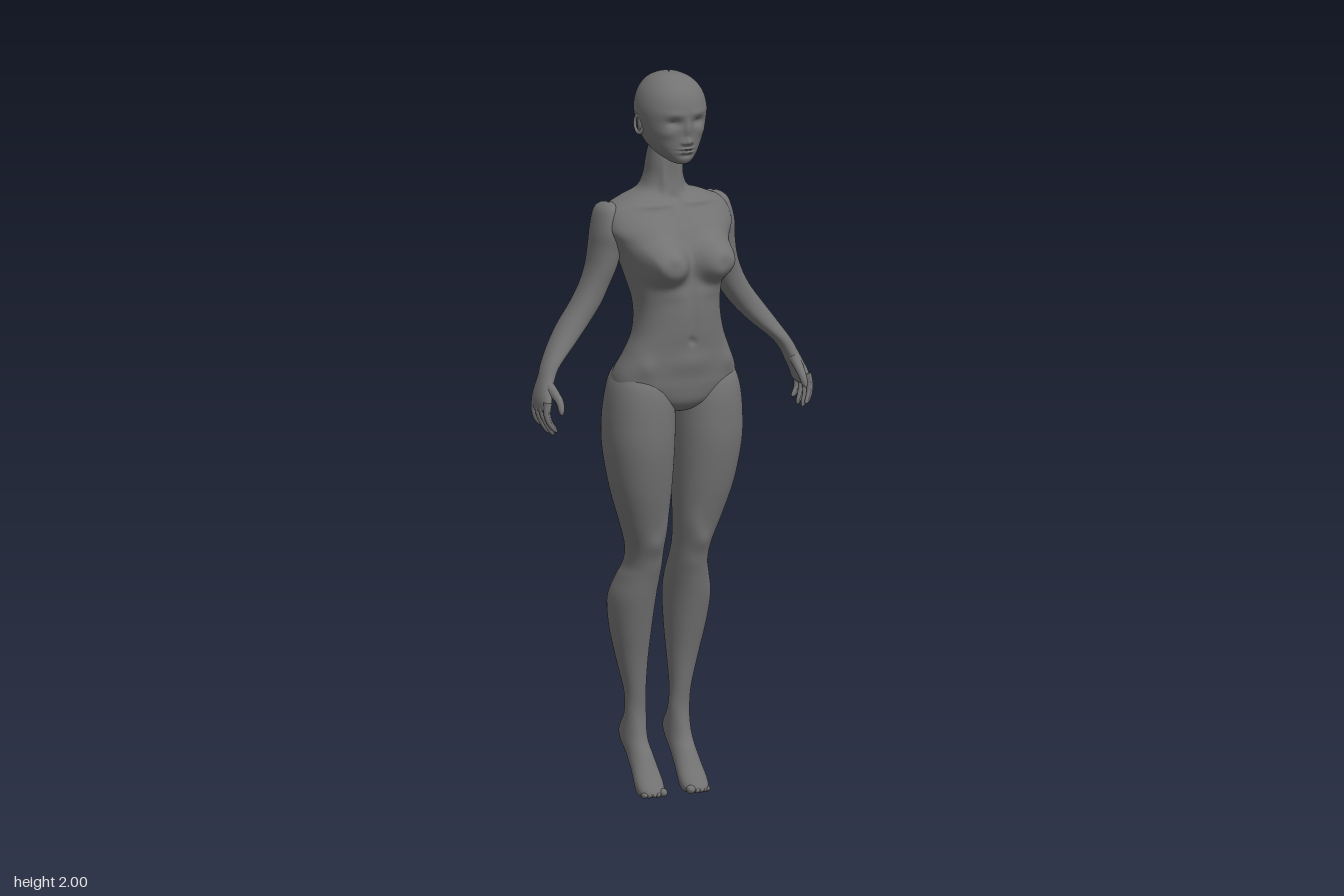
import * as THREE from 'three';

const material = new THREE.MeshStandardMaterial({ color: 0x737373 });

// Catmull-Rom blend of four numbers
const spline = (a, b, c, d, t) =>
  b + 0.5 * t * (c - a + t * (2 * a - 5 * b + 4 * c - d + t * (3 * (b - c) + d - a)));

// Loft through level sections [y, xMin, xMax, zMin, zMax], listed from the top down.
// Bumps [x, y, side, rx, ry, dz, fullness] push the front (side 1) or back (side -1) along z, on both halves.
function loft(sections, { sides = 48, steps = 6, power = 2.2, bumps = [] } = {}) {
  const pos = [], index = [], last = sections.length - 1, rows = last * steps;
  const at = (i) => sections[Math.min(last, Math.max(0, i))];
  const round = (v) => Math.sign(v) * Math.abs(v) ** (2 / power);
  for (let i = 0; i <= rows; i++) {
    const k = Math.min(last - 1, Math.floor(i / steps)), t = i / steps - k;
    const [y, x0, x1, z0, z1] = at(k).map((v, n) => spline(at(k - 1)[n], v, at(k + 1)[n], at(k + 2)[n], t));
    for (let j = 0; j < sides; j++) {
      const a = (j / sides) * Math.PI * 2, c = Math.cos(a), s = Math.sin(a);
      const x = (x0 + x1) / 2 + ((x1 - x0) / 2) * round(c);
      let z = (z0 + z1) / 2 + ((z1 - z0) / 2) * round(s);
      for (const [bx, by, side, rx, ry, dz, fullness = 1] of bumps) {
        const w = Math.min(1, Math.max(0, side * s * 1.5));
        const d = ((Math.abs(x) - bx) / rx) ** 2 + ((y - by) / ry) ** 2;
        z += w * dz * Math.exp(-(d ** fullness));
      }
      pos.push(x, y, z);
      if (i < rows) {
        const p = i * sides + j, q = i * sides + ((j + 1) % sides);
        index.push(p, q, p + sides, q, q + sides, p + sides);
      }
    }
  }
  const geo = new THREE.BufferGeometry();
  geo.setAttribute('position', new THREE.Float32BufferAttribute(pos, 3));
  geo.setIndex(index);
  geo.computeVertexNormals();
  return geo;
}

// Section symmetric about the middle: [y, halfWidth, zMin, zMax]
const centred = (list) => list.map(([y, h, z0, z1]) => [y, -h, h, z0, z1]);

// Tube along points, tapering from r0 to r1 with a rounded tip
function digit(points, r0, r1) {
  const curve = new THREE.CatmullRomCurve3(points.map((p) => new THREE.Vector3(...p)));
  const n = 20, sides = 12, geo = new THREE.TubeGeometry(curve, n, 1, sides);
  const p = geo.attributes.position, v = new THREE.Vector3();
  for (let i = 0; i <= n; i++) {
    const t = i / n, centre = curve.getPointAt(t);
    const r = (r0 + (r1 - r0) * t) * Math.sqrt(1 - Math.max(0, (t - 0.8) / 0.2) ** 2);
    for (let j = 0; j <= sides; j++) {
      const k = i * (sides + 1) + j;
      v.fromBufferAttribute(p, k).sub(centre).multiplyScalar(Math.max(r, 1e-4)).add(centre);
      p.setXYZ(k, v.x, v.y, v.z);
    }
  }
  geo.computeVertexNormals();
  return geo;
}

const ellipsoid = (x, y, z, rx, ry, rz) =>
  new THREE.SphereGeometry(1, 24, 16).scale(rx, ry, rz).translate(x, y, z);

function mirrored(geo) {
  const copy = geo.clone().scale(-1, 1, 1), ix = copy.index;
  for (let i = 0; i < ix.count; i += 3) {
    const a = ix.getX(i);
    ix.setX(i, ix.getX(i + 1));
    ix.setX(i + 1, a);
  }
  return copy;
}

export function createModel() {
  const model = new THREE.Group();
  model.name = 'figure';
  const add = (name, geo) => {
    const mesh = new THREE.Mesh(geo, material);
    mesh.name = name;
    model.add(mesh);
  };
  const pair = (name, geo) => {
    add(name + 'Left', geo);
    add(name + 'Right', mirrored(geo));
  };

  // Buttock and the fold under it, shared by pelvis and legs so that they flow together
  const seat = [
    [0.078, 1.148, -1, 0.068, 0.076, -0.056, 1.6],
    [0.08, 1.058, -1, 0.05, 0.014, 0.006],
  ];

  // Neck, shoulders, chest, waist and pelvis
  add('torso', loft(centred([
    [1.82, 0.045, -0.07, 0], [1.76, 0.05, -0.092, 0], [1.71, 0.054, -0.106, -0.002],
    [1.675, 0.072, -0.118, 0.002], [1.655, 0.125, -0.125, 0.012], [1.63, 0.174, -0.13, 0.034],
    [1.58, 0.188, -0.13, 0.068], [1.54, 0.17, -0.127, 0.088], [1.5, 0.152, -0.122, 0.1],
    [1.44, 0.134, -0.105, 0.114], [1.37, 0.119, -0.082, 0.122], [1.3, 0.127, -0.066, 0.119],
    [1.24, 0.151, -0.072, 0.111], [1.18, 0.178, -0.093, 0.105], [1.14, 0.172, -0.096, 0.101],
    [1.1, 0.115, -0.09, 0.09], [1.075, 0.05, -0.06, 0.06], [1.062, 0.005, -0.01, 0.01],
  ]), {
    sides: 112, steps: 8, power: 2.3, bumps: [
      ...seat,
      [0.077, 1.492, 1, 0.061, 0.054, 0.06, 1.8], // breasts
      [0.077, 1.55, 1, 0.05, 0.05, 0.014], // upper breast slope
      [0.126, 1.492, 1, 0.03, 0.045, 0.026], // outer breast
      [0, 1.45, -1, 0.014, 0.17, 0.014], // spine
      [0.085, 1.54, -1, 0.04, 0.06, -0.012], // shoulder blades
      [0.075, 1.47, -1, 0.035, 0.02, 0.005], // hollow below the blades
      [0.045, 1.31, -1, 0.03, 0.08, -0.007], // lower back
      [0.07, 1.642, 1, 0.06, 0.009, 0.009], // collar bones
      [0, 1.65, 1, 0.012, 0.014, -0.01], // throat notch
      [0.025, 1.7, 1, 0.01, 0.05, 0.006], // neck muscles
      [0, 1.36, 1, 0.01, 0.1, -0.005], // belly midline
      [0, 1.275, 1, 0.008, 0.01, -0.01], // navel
      [0.06, 1.41, 1, 0.04, 0.02, 0.005], // rib edge
      [0, 1.215, 1, 0.07, 0.03, 0.006], // lower belly
      [0.13, 1.21, 1, 0.025, 0.03, 0.008], // hip bones
    ],
  }));

  // Head with sculpted face
  add('head', loft(centred([
    [2, 0.002, -0.022, -0.018], [1.996, 0.03, -0.055, 0.015], [1.98, 0.06, -0.088, 0.052],
    [1.95, 0.084, -0.109, 0.079], [1.91, 0.095, -0.117, 0.091], [1.87, 0.092, -0.113, 0.089],
    [1.84, 0.084, -0.102, 0.085], [1.81, 0.071, -0.084, 0.084], [1.785, 0.053, -0.05, 0.082],
    [1.768, 0.034, -0.005, 0.077], [1.759, 0.018, 0.025, 0.068], [1.757, 0.001, 0.044, 0.046],
  ]), {
    sides: 128, steps: 10, power: 2.15, bumps: [
      [0.036, 1.876, 1, 0.019, 0.012, -0.012], // eye sockets
      [0.036, 1.9, 1, 0.028, 0.009, 0.003], // brows
      [0, 1.852, 1, 0.008, 0.026, 0.01], // nose bridge
      [0, 1.823, 1, 0.01, 0.01, 0.016], // nose tip
      [0.012, 1.82, 1, 0.006, 0.006, 0.007], // nostril wings
      [0, 1.803, 1, 0.018, 0.004, 0.008], // upper lip
      [0, 1.793, 1, 0.016, 0.004, 0.008], // lower lip
      [0, 1.798, 1, 0.022, 0.0018, -0.006], // mouth line
      [0, 1.783, 1, 0.018, 0.005, -0.004], // chin crease
      [0.055, 1.845, 1, 0.02, 0.014, 0.005], // cheekbones
    ],
  }));
  pair('eye', ellipsoid(0.036, 1.876, 0.058, 0.014, 0.012, 0.0135));
  pair('upperEyelid', new THREE.SphereGeometry(0.0155, 24, 10, 0, Math.PI * 2, 0, 1.15)
    .rotateX(0.25).translate(0.036, 1.876, 0.0575));
  const ear = new THREE.TorusGeometry(0.018, 0.005, 10, 28).scale(0.75, 1.3, 1);
  pair('earRim', ear.rotateY(1.15).rotateX(-0.15).translate(0.092, 1.862, -0.022));
  pair('earBowl', ellipsoid(0.088, 1.86, -0.019, 0.008, 0.021, 0.012));

  // Upper arm rising inside the shoulder, forearm and palm
  pair('arm', loft([
    [1.646, 0.16, 0.166, -0.07, -0.06], [1.64, 0.145, 0.184, -0.1, -0.03],
    [1.62, 0.132, 0.2, -0.116, -0.012], [1.57, 0.125, 0.212, -0.12, 0],
    [1.52, 0.133, 0.217, -0.12, -0.008], [1.47, 0.145, 0.226, -0.118, -0.015],
    [1.42, 0.165, 0.245, -0.115, -0.024], [1.37, 0.189, 0.274, -0.115, -0.028],
    [1.32, 0.226, 0.312, -0.111, -0.028], [1.27, 0.274, 0.348, -0.096, -0.02],
    [1.22, 0.33, 0.38, -0.072, -0.006], [1.19, 0.352, 0.394, -0.059, 0.002],
    [1.165, 0.364, 0.404, -0.06, 0.014], [1.135, 0.378, 0.413, -0.06, 0.032],
    [1.112, 0.386, 0.414, -0.055, 0.038], [1.1, 0.393, 0.41, -0.044, 0.03],
    [1.096, 0.4, 0.402, -0.01, 0.002],
  ]));

  // Fingers [root z, tip z, tip y] and thumb
  [[0.029, 0.052, 1.05], [0.006, 0.033, 1.038], [-0.017, 0.004, 1.04], [-0.041, -0.026, 1.055]]
    .forEach(([z0, z1, y], i) => pair('finger' + (i + 1), digit([
      [0.4, 1.13, z0], [0.405, 1.1, z0 + 0.004], [0.4, 1.075, (z0 + z1) / 2], [0.383, y, z1],
    ], 0.0115, 0.0065)));
  pair('thumb', digit([
    [0.38, 1.172, -0.01], [0.376, 1.15, 0.025], [0.374, 1.13, 0.05], [0.377, 1.098, 0.066],
  ], 0.016, 0.008));

  // Leg, rising inside the pelvis, down to the tiptoe foot
  pair('leg', loft([
    [1.21, 0.1, 0.12, -0.01, 0.01], [1.195, 0.065, 0.158, -0.055, 0.05],
    [1.165, 0.03, 0.18, -0.084, 0.084], [1.12, 0.012, 0.193, -0.098, 0.098],
    [1.05, 0.008, 0.2, -0.108, 0.102], [0.97, 0.009, 0.198, -0.106, 0.099],
    [0.86, 0.013, 0.178, -0.092, 0.08], [0.76, 0.018, 0.146, -0.082, 0.054],
    [0.69, 0.023, 0.122, -0.087, 0.034], [0.64, 0.023, 0.118, -0.107, 0.024],
    [0.6, 0.022, 0.13, -0.13, 0.013], [0.54, 0.024, 0.145, -0.152, -0.001],
    [0.46, 0.029, 0.139, -0.149, -0.02], [0.37, 0.036, 0.12, -0.134, -0.04],
    [0.28, 0.041, 0.099, -0.116, -0.053], [0.22, 0.038, 0.096, -0.117, -0.058],
    [0.17, 0.036, 0.099, -0.15, -0.05], [0.14, 0.036, 0.1, -0.142, -0.04],
    [0.11, 0.034, 0.1, -0.11, -0.022], [0.07, 0.03, 0.104, -0.07, 0],
    [0.035, 0.027, 0.108, -0.044, 0.022], [0.012, 0.03, 0.106, -0.035, 0.035],
    [0.002, 0.04, 0.096, -0.024, 0.028], [0, 0.066, 0.07, 0, 0.004],
  ], {
    sides: 64, bumps: [
      ...seat,
      [0.072, 0.7, 1, 0.028, 0.03, 0.009], // kneecap
      [0.045, 0.74, 1, 0.02, 0.04, 0.006], // inner thigh muscle
      [0.072, 0.3, -1, 0.012, 0.08, -0.004], // heel tendon
    ],
  }));
  for (let i = 0; i < 5; i++) {
    const r = i ? 0.0085 : 0.012;
    pair('toe' + (i + 1), ellipsoid(0.043 + (i ? 0.006 : 0) + i * 0.0118, r, 0.025 - i * i * 0.0005, r, r, 0.014));
  }
  return model;
}
